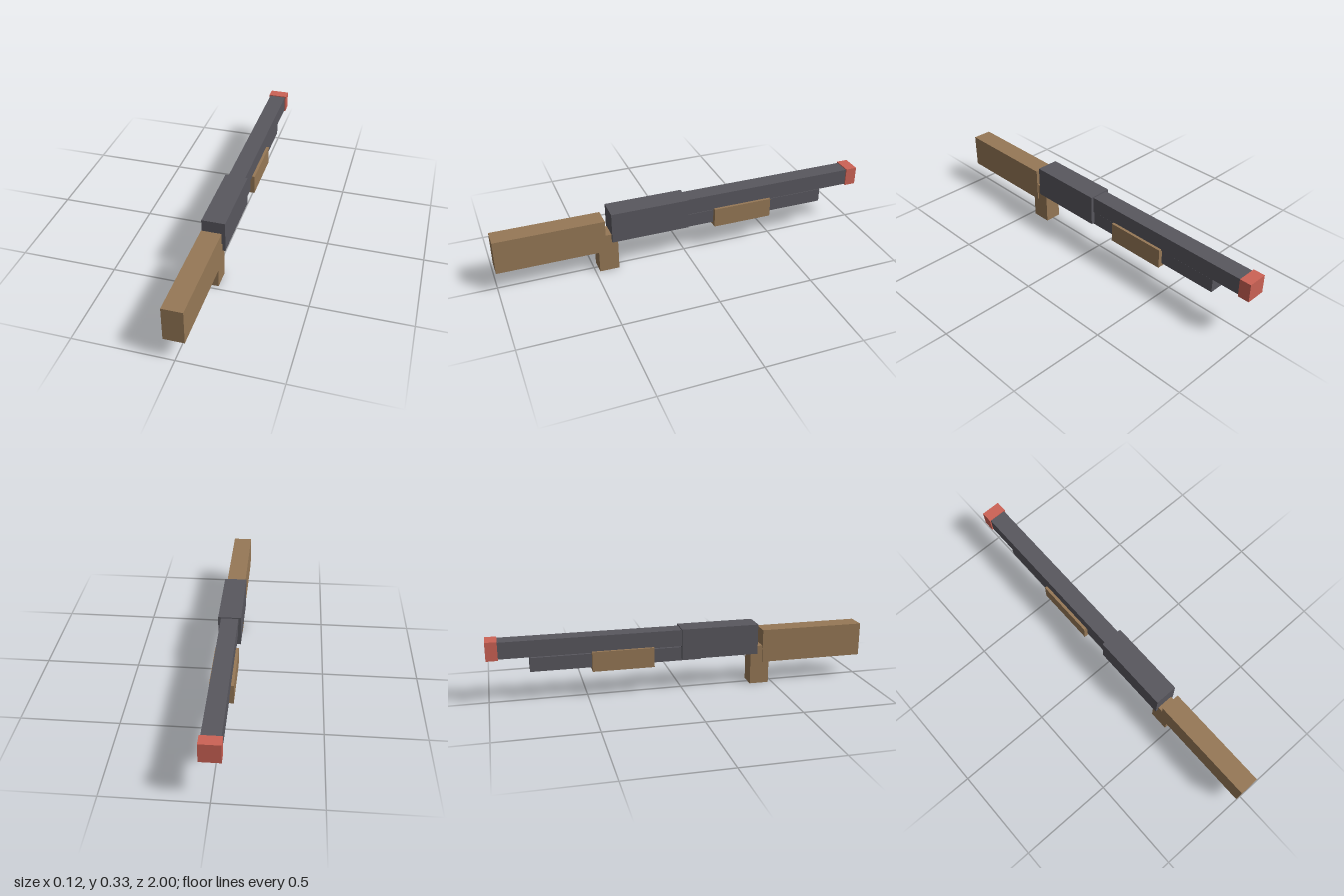
import * as THREE from 'three';

function material(name, color) {
  const m = new THREE.MeshStandardMaterial({ color });
  m.name = name;
  return m;
}

export function createModel() {
  const group = new THREE.Group();
  group.name = 'toyPumpGun';

  const wood = material('wood', 0x967856);
  const metal = material('darkMetal', 0x58575e);
  const red = material('red', 0xcc6255);

  // name, material, full width, y range, z range (muzzle towards -z)
  const parts = [
    ['stock', wood, 0.102, 0.12, 0.297, 0.44, 1],
    ['grip', wood, 0.088, 0, 0.21, 0.375, 0.478],
    ['receiver', metal, 0.119, 0.171, 0.333, -0.005, 0.408],
    ['barrel', metal, 0.09, 0.24, 0.327, -0.95, 0.1],
    ['magazineTube', metal, 0.076, 0.16, 0.233, -0.787, 0.1],
    ['pumpHandle', wood, 0.119, 0.142, 0.246, -0.475, -0.153],
    ['muzzleTip', red, 0.102, 0.235, 0.332, -1, -0.94],
  ];

  for (const [name, mat, width, y0, y1, z0, z1] of parts) {
    const mesh = new THREE.Mesh(new THREE.BoxGeometry(width, y1 - y0, z1 - z0), mat);
    mesh.name = name;
    mesh.position.set(0, (y0 + y1) / 2, (z0 + z1) / 2);
    group.add(mesh);
  }
  return group;
}
